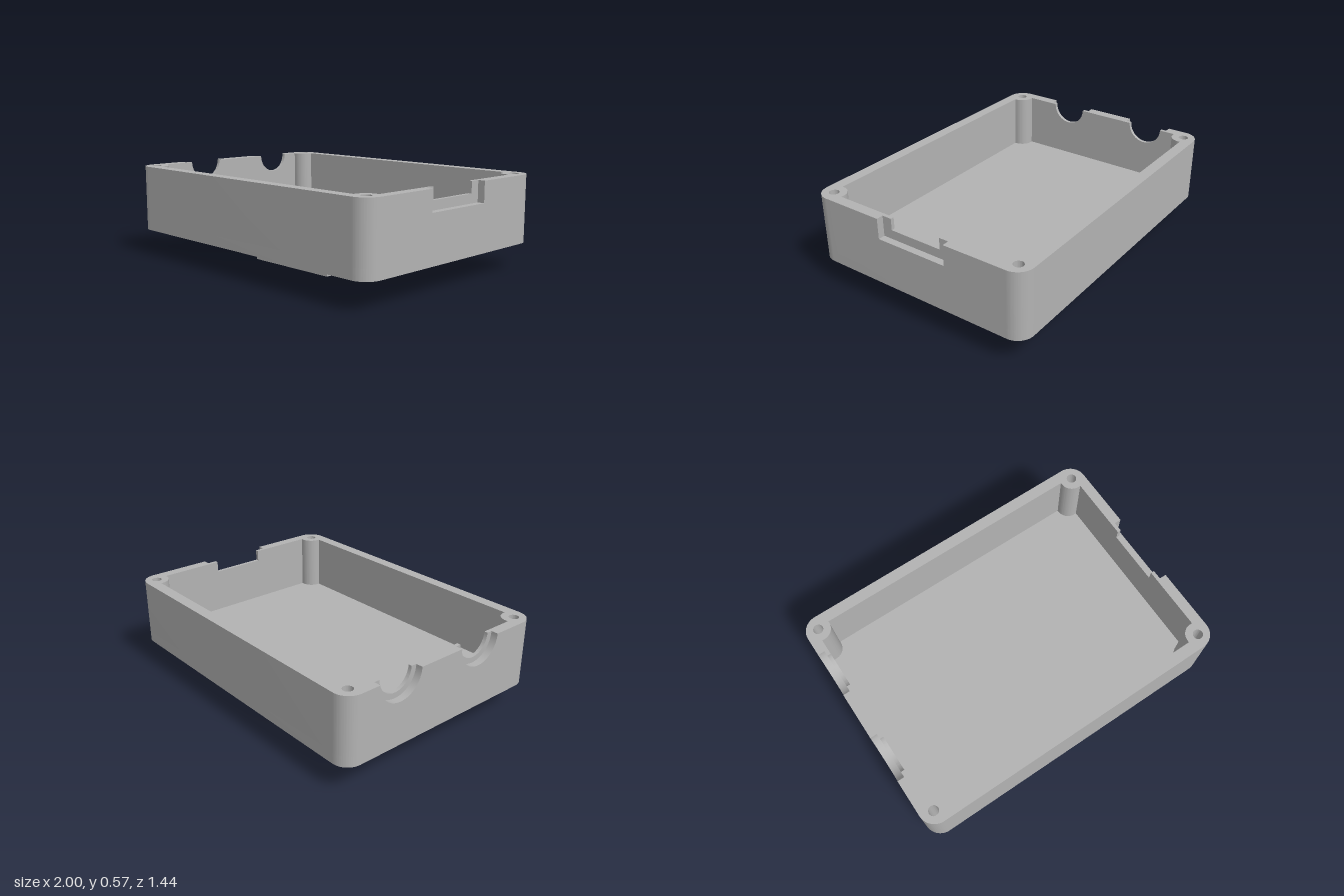
import * as THREE from 'three';
import { toCreasedNormals } from 'three/addons/utils/BufferGeometryUtils.js';

const W = 1, D = 0.72, R = 0.1;               // outer half sizes and corner radius
const BASE = 0.16, FLOOR = 0.225, TOP = 0.57; // heights
const IX = 0.935, IZ = 0.65;                  // inner half sizes
const BX = 0.92, BZ = 0.64, BR = 0.075;       // screw boss centre and radius
const SIDE = BZ - BR;                         // side walls run between the bosses

export function createModel() {
  const group = new THREE.Group();
  const grey = new THREE.MeshStandardMaterial({ color: 0xb3b3b3 });
  grey.name = 'grey plastic';

  const add = (name, geometry) => {
    const mesh = new THREE.Mesh(geometry, grey);
    mesh.name = name;
    group.add(mesh);
    return mesh;
  };
  const extrude = (shape, depth) => toCreasedNormals(
    new THREE.ExtrudeGeometry(shape, { depth, bevelEnabled: false, curveSegments: 20 }), 0.5);
  const extrudeUp = (shape, y0, y1) =>
    extrude(shape, y1 - y0).rotateX(-Math.PI / 2).translate(0, y0, 0);

  // Floor plate with rounded corners
  const plate = new THREE.Shape();
  plate.moveTo(-W, -D + R);
  plate.absarc(-W + R, -D + R, R, Math.PI, Math.PI * 1.5);
  plate.absarc(W - R, -D + R, R, -Math.PI / 2, 0);
  plate.absarc(W - R, D - R, R, 0, Math.PI / 2);
  plate.absarc(-W + R, D - R, R, Math.PI / 2, Math.PI);
  add('floor', extrudeUp(plate, BASE, FLOOR));

  // Long wall with its two corners, screw bosses and screw holes
  const wall = new THREE.Shape();
  wall.moveTo(-W, SIDE);
  wall.lineTo(-BX, SIDE);
  wall.absarc(-BX, BZ, BR, -Math.PI / 2, 0);
  wall.lineTo(-BX + BR, IZ);
  wall.lineTo(BX - BR, IZ);
  wall.absarc(BX, BZ, BR, Math.PI, Math.PI * 1.5);
  wall.lineTo(W, SIDE);
  wall.absarc(W - R, D - R, R, 0, Math.PI / 2);
  wall.absarc(-W + R, D - R, R, Math.PI / 2, Math.PI);
  for (const x of [-BX, BX]) {
    const hole = new THREE.Path();
    hole.absarc(x, BZ, 0.03, 0, Math.PI * 2, true);
    wall.holes.push(hole);
  }
  const wallGeometry = extrudeUp(wall, FLOOR, TOP);
  add('backWall', wallGeometry);
  add('frontWall', wallGeometry).rotation.y = Math.PI;

  // Side wall layer between x0 and x1; cut() draws the openings in its top edge
  const sideLayer = (name, x0, x1, cut) => {
    const s = new THREE.Shape();
    s.moveTo(-SIDE, FLOOR);
    s.lineTo(SIDE, FLOOR);
    s.lineTo(SIDE, TOP);
    cut(s);
    s.lineTo(-SIDE, TOP);
    add(name, extrude(s, x1 - x0).rotateY(Math.PI / 2).translate(x0, 0, 0));
  };
  // Half-round cable notches, in order along the edge
  const notches = (r) => (s) => {
    for (const c of [0.352, -0.246]) {
      s.lineTo(c + r, TOP);
      s.absarc(c, TOP, r, 0, Math.PI, true);
    }
  };
  // Rectangular connector slot
  const slot = (h, y) => (s) => {
    s.lineTo(h, TOP);
    s.lineTo(h, y);
    s.lineTo(-h, y);
    s.lineTo(-h, TOP);
  };
  sideLayer('rightWallOuter', -W, -0.957, notches(0.147));
  sideLayer('rightWallInner', -0.957, -IX, notches(0.113));
  sideLayer('leftWallOuter', 0.957, W, slot(0.228, 0.445));
  sideLayer('leftWallInner', IX, 0.957, slot(0.168, 0.5));

  // Mounting rail underneath: inverted T section running front to back
  const rail = new THREE.Shape([
    [-0.315, 0], [0.315, 0], [0.315, 0.067], [0.207, 0.067],
    [0.207, BASE], [-0.207, BASE], [-0.207, 0.067], [-0.315, 0.067],
  ].map(([x, y]) => new THREE.Vector2(x, y)));
  add('mountingRail', extrude(rail, 0.63).translate(0, 0, -0.315));

  return group;
}
